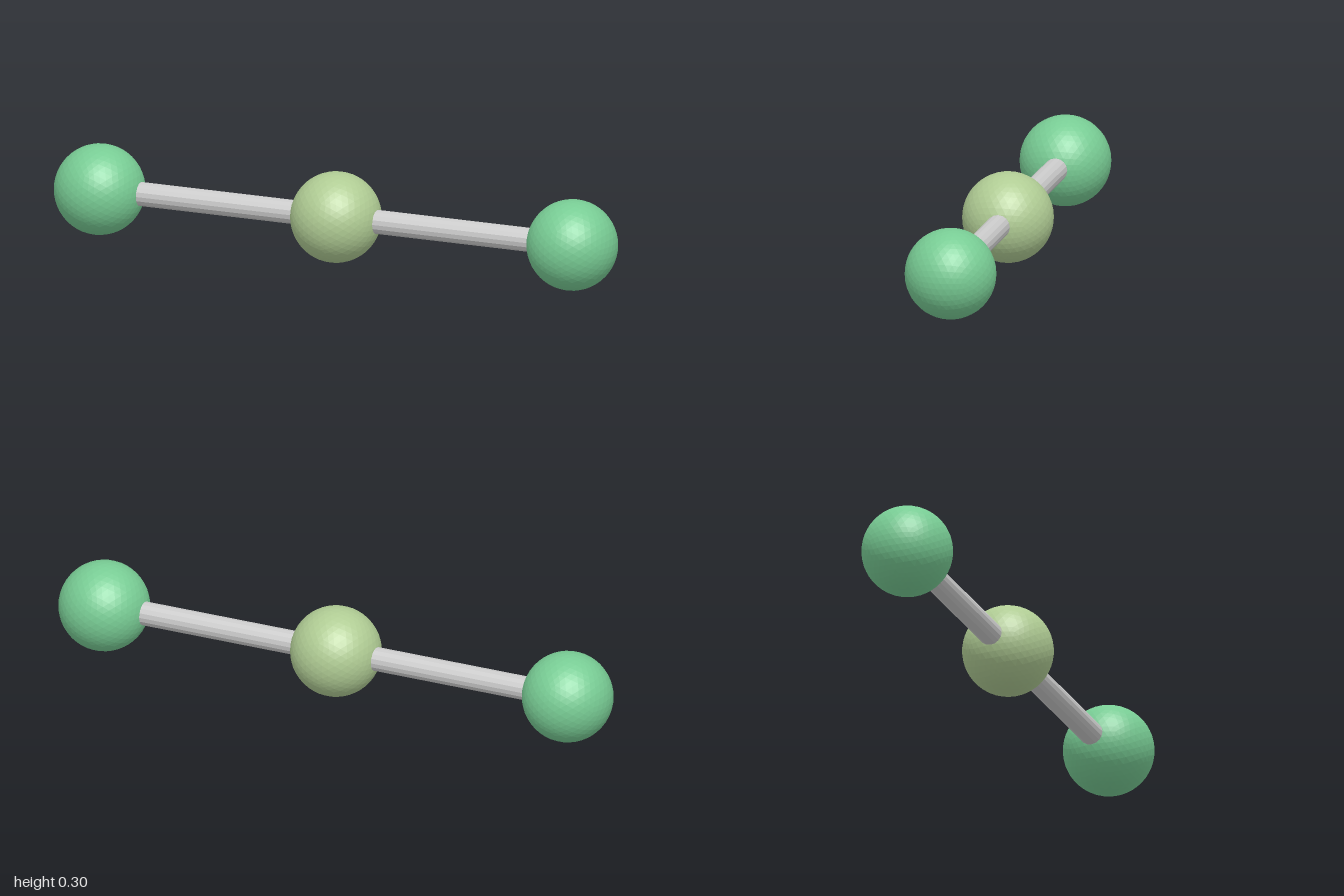
import * as THREE from 'three';

const RADIUS = 0.152;
const CENTRE_Y = 0.153;
const SPACING = 0.848;

const material = (color) => new THREE.MeshStandardMaterial({ color, flatShading: true });

export function createModel() {
  const model = new THREE.Group();
  model.name = 'linearMolecule';

  const ballGeometry = new THREE.IcosahedronGeometry(RADIUS, 7);
  const rodGeometry = new THREE.CylinderGeometry(0.04, 0.04, SPACING, 16).rotateZ(Math.PI / 2);
  const endMaterial = material(0x78cc94);
  const centreMaterial = material(0xb0cc94);
  const rodMaterial = material(0xcccccc);

  const add = (name, geometry, mat, x) => {
    const mesh = new THREE.Mesh(geometry, mat);
    mesh.name = name;
    mesh.position.set(x, CENTRE_Y, 0);
    model.add(mesh);
  };

  // Central ball
  add('centreBall', ballGeometry, centreMaterial, 0);

  // Mirrored end balls, each joined to the centre by a rod
  for (const [side, s] of [['left', 1], ['right', -1]]) {
    add(`${side}Ball`, ballGeometry, endMaterial, s * SPACING);
    add(`${side}Rod`, rodGeometry, rodMaterial, s * SPACING / 2);
  }

  return model;
}
